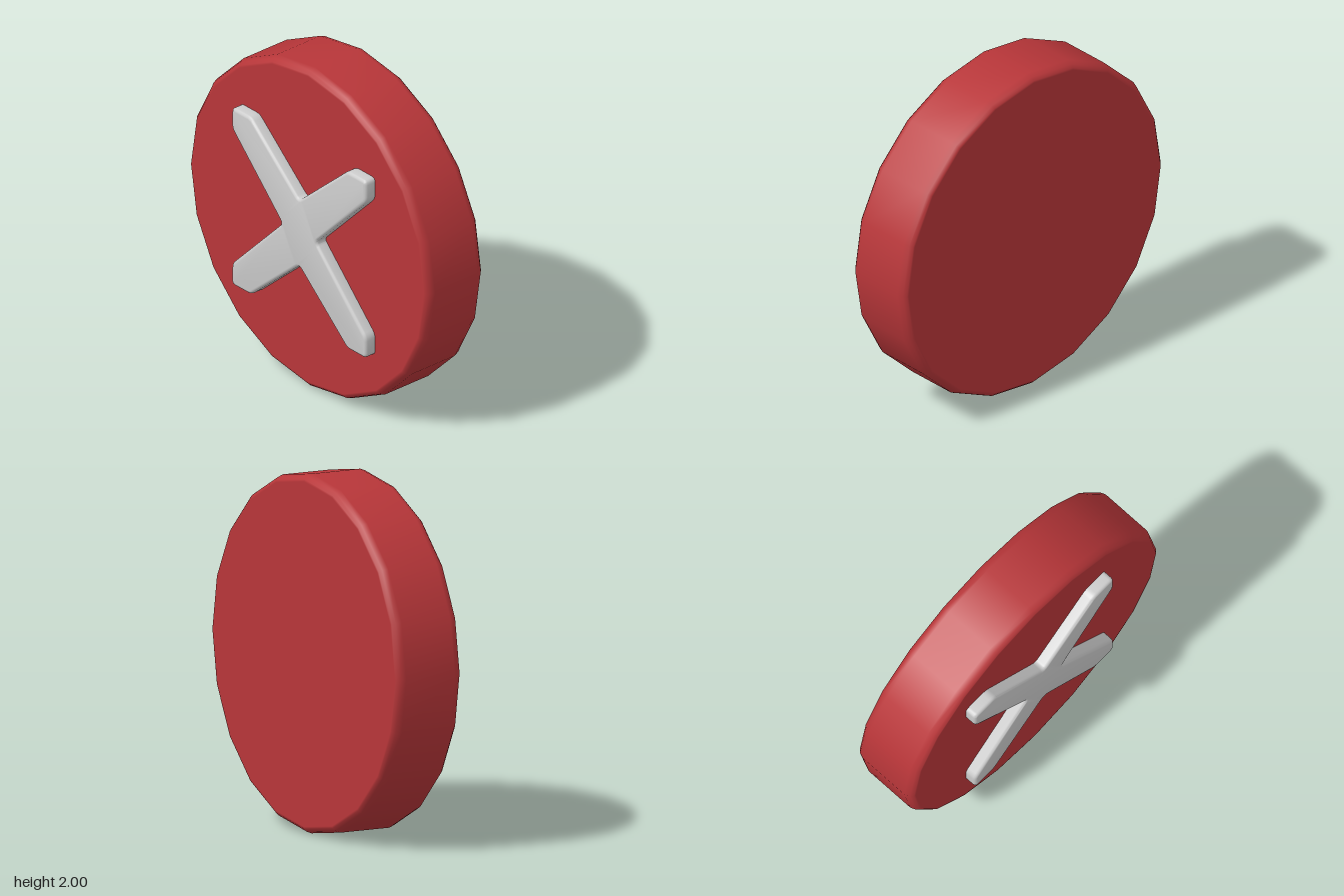
import * as THREE from 'three';
import { toCreasedNormals } from 'three/addons/utils/BufferGeometryUtils.js';

// Closed shape through the corners, each softened by a short curve
function roundedShape(corners, cut) {
  const shape = new THREE.Shape();
  const n = corners.length;
  corners.forEach((c, i) => {
    const toward = (o) => c.clone().add(o.clone().sub(c).setLength(cut));
    const a = toward(corners[(i + n - 1) % n]);
    const b = toward(corners[(i + 1) % n]);
    if (i === 0) shape.moveTo(a.x, a.y);
    else shape.lineTo(a.x, a.y);
    shape.quadraticCurveTo(c.x, c.y, b.x, b.y);
  });
  shape.closePath();
  return shape;
}

export function createModel() {
  const group = new THREE.Group();
  const red = new THREE.MeshStandardMaterial({ color: 0xb83639 });
  const grey = new THREE.MeshStandardMaterial({ color: 0xcccccc });

  // Disc: 20-sided, with softened rims and flat faces
  const profile = [
    [0, -0.24], [0.96, -0.24], [0.972, -0.238], [0.988, -0.222], [1, -0.19],
    [1, 0.12], [0.988, 0.152], [0.972, 0.168], [0.96, 0.17], [0, 0.17],
  ].map(([r, z]) => new THREE.Vector2(r, z));
  const discGeometry = new THREE.LatheGeometry(profile, 20);
  discGeometry.rotateX(Math.PI / 2);
  const disc = new THREE.Mesh(discGeometry, red);
  disc.name = 'disc';
  disc.position.y = 1;
  group.add(disc);

  // Raised cross: one quarter outline mirrored into four, counter-clockwise
  const quarter = [[0.14, 0], [0.557, 0.425], [0.557, 0.557], [0.4, 0.557], [0, 0.205]];
  const corners = [
    ...quarter,
    ...quarter.slice(1, 4).reverse().map(([x, y]) => [-x, y]),
    ...quarter.slice(0, 4).map(([x, y]) => [-x, -y]),
    [0, -0.205],
    ...quarter.slice(1, 4).reverse().map(([x, y]) => [x, -y]),
  ].map(([x, y]) => new THREE.Vector2(x, y));
  const bevel = 0.018;
  const crossGeometry = new THREE.ExtrudeGeometry(roundedShape(corners, 0.028), {
    depth: 0.1 - 2 * bevel,
    bevelThickness: bevel,
    bevelSize: bevel,
    bevelOffset: -bevel,
    bevelSegments: 3,
    curveSegments: 4,
  });
  crossGeometry.translate(0, 0, 0.14 + bevel);
  const cross = new THREE.Mesh(toCreasedNormals(crossGeometry, 0.7), grey);
  cross.name = 'cross';
  cross.position.y = 1;
  group.add(cross);

  return group;
}
